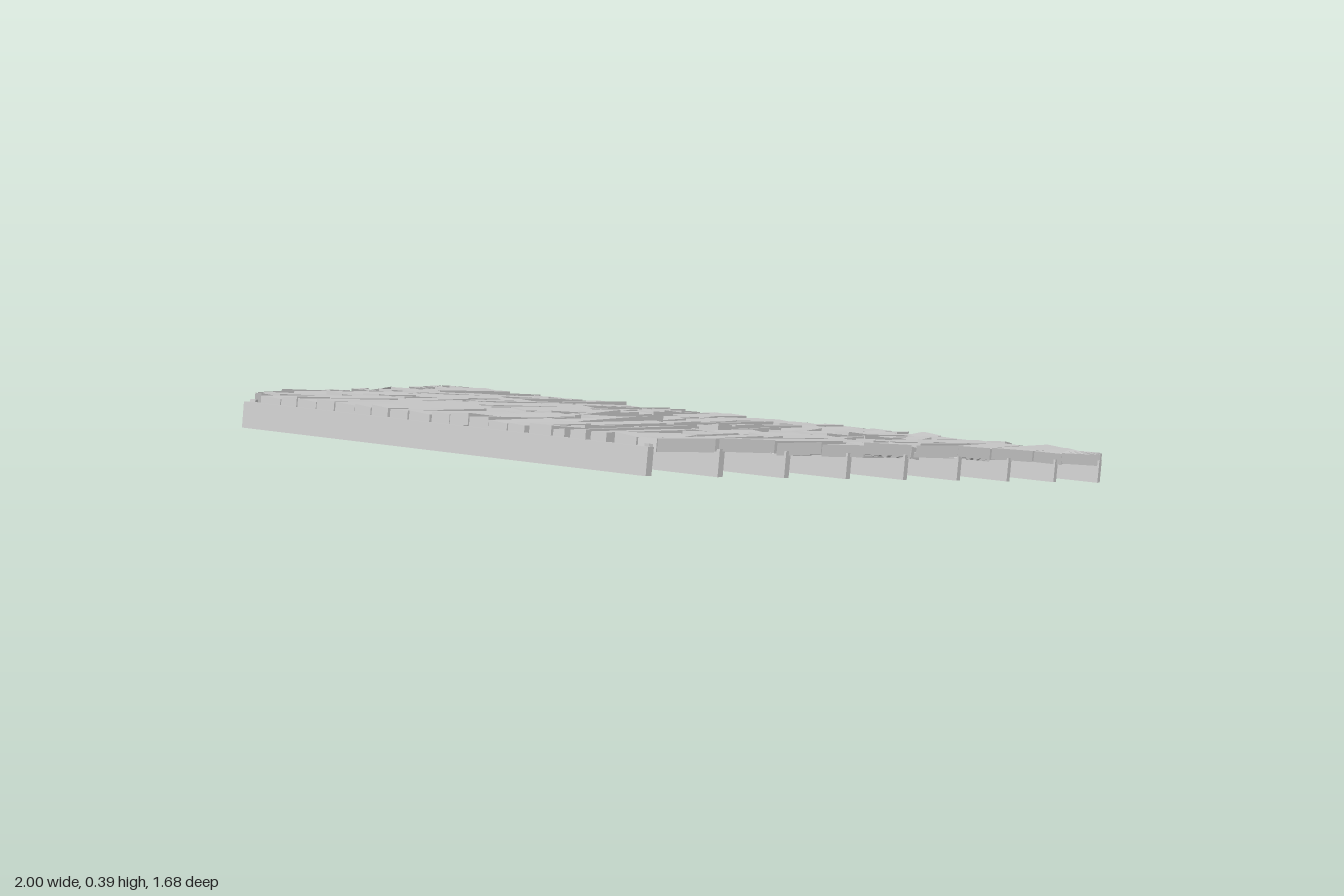
import * as THREE from 'three';

const SLOPE = 0.186;   // pitch of the deck in radians
const FRONT = 0.829, BACK = -0.85;   // deck ends, measured along the slope
const THICK = 0.027;
const COLUMNS = 41;

const halfWidth = s => 0.75 - 0.301 * s;      // deck tapers towards the front
const frontLimit = x => Math.min(FRONT, (0.75 - Math.abs(x)) / 0.301);

// Small repeatable random generator
let seed = 11;
function rand(a = 0, b = 1) {
  seed = (seed * 16807) % 2147483647;
  return a + (b - a) * seed / 2147483647;
}

// Areas where worn boards are narrow and leave slots: [x0, x1, s0, s1]
const WORN = [[0.14, 0.38, -0.46, -0.05], [0.14, 0.4, 0.2, 0.7], [-0.66, -0.58, -0.3, -0.18]];

// One board with a slightly uneven surface, trimmed by the slanted deck side
function plankGeometry(x0, x1, s0, s1) {
  const geo = new THREE.BoxGeometry(1, 1, 1, 1, 1, 4);
  const p = geo.attributes.position;
  const lift = rand(-0.002, 0.004), roll = rand(-0.003, 0.003), pitch = rand(-0.004, 0.004);
  const skew = rand(-0.003, 0.003);
  const warped = rand() < 0.16 && x0 > -0.9 && x1 < 0.9 ? rand(-0.01, 0.022) : 0;
  for (let i = 0; i < p.count; i++) {
    const t = p.getZ(i) + 0.5, side = p.getX(i) * 2;
    const x = THREE.MathUtils.lerp(x0, x1, p.getX(i) + 0.5) + skew * (t - 0.5);
    const s = Math.min(THREE.MathUtils.lerp(s0, s1, t), frontLimit(x));
    const middle = Math.max(0, 1 - Math.abs(s - 0.1) / 0.5);
    const y = (p.getY(i) + 0.5) * THICK + lift + roll * side + pitch * (t * 2 - 1)
      + warped * middle * (1 + 0.4 * side);
    p.setXYZ(i, x, y, s);
  }
  geo.computeVertexNormals();
  return geo;
}

export function createModel() {
  const model = new THREE.Group();
  model.name = 'slopedDeck';
  const wood = new THREE.MeshStandardMaterial({ color: 0xcccccc, flatShading: true });

  const deck = new THREE.Group();
  deck.name = 'tiltedDeck';
  deck.rotation.x = -SLOPE;
  deck.position.y = 0.207;
  model.add(deck);

  // Nine cross beams underneath, square to the slope
  const beams = new THREE.Group();
  beams.name = 'crossBeams';
  for (let i = 0; i < 9; i++) {
    const beam = new THREE.Mesh(new THREE.BoxGeometry(2 - 0.125 * i, 0.058, 0.026), wood);
    beam.name = 'crossBeam';
    beam.position.set(0, -0.021, -0.828 + 0.2075 * i);
    beams.add(beam);
  }
  deck.add(beams);

  // Rows of boards running down the slope, each broken into random lengths
  const planks = new THREE.Group();
  planks.name = 'planks';
  const edges = [];
  for (let c = 0; c <= COLUMNS; c++) {
    const jitter = c === 0 || c === COLUMNS ? 0 : rand(-0.006, 0.006);
    edges.push(-0.998 + 1.996 * c / COLUMNS + jitter);
  }
  for (let c = 0; c < COLUMNS; c++) {
    const x0 = edges[c], x1 = edges[c + 1];
    const end = frontLimit(Math.min(Math.abs(x0), Math.abs(x1)));
    let s = BACK + rand(0, 0.006);
    while (s < end - 0.01) {
      let next = s + (rand() < 0.35 ? rand(0.07, 0.16) : rand(0.2, 0.6));
      if (end - next < 0.06) next = end;
      const mid = (s + next) / 2, xm = (x0 + x1) / 2;
      const worn = WORN.some(w => xm > w[0] && xm < w[1] && mid > w[2] && mid < w[3]);
      const gapL = rand(0, 0.003), gapR = worn ? rand(0.008, 0.022) : rand(0, 0.003);
      const plank = new THREE.Mesh(
        plankGeometry(x0 + gapL, x1 - gapR, s, next - (next < end ? 0.004 : 0)), wood);
      plank.name = 'plank';
      planks.add(plank);
      s = next;
    }
  }
  deck.add(planks);

  // Thin slanted rim closing each side under the board ends
  for (const side of [-1, 1]) {
    const a = new THREE.Vector2(halfWidth(-0.83) - 0.012, -0.83);
    const b = new THREE.Vector2(halfWidth(FRONT) - 0.012, FRONT);
    const rim = new THREE.Mesh(new THREE.BoxGeometry(0.012, 0.012, a.distanceTo(b)), wood);
    rim.name = side > 0 ? 'leftRim' : 'rightRim';
    rim.position.set(side * (a.x + b.x) / 2, 0.008, (a.y + b.y) / 2);
    rim.rotation.y = side * Math.atan2(b.x - a.x, b.y - a.y);
    deck.add(rim);
  }
  return model;
}
